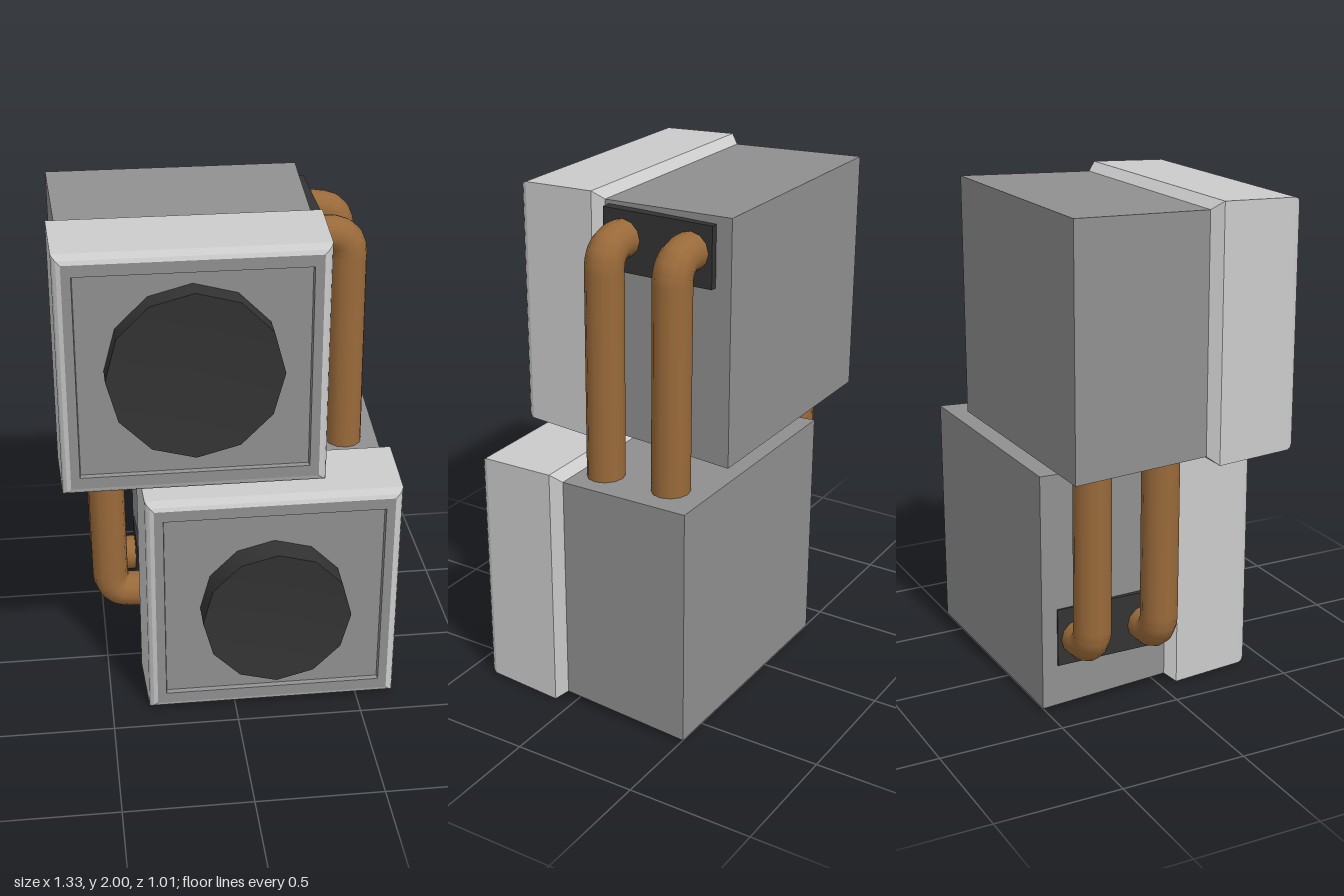
import * as THREE from 'three';
import { toCreasedNormals } from 'three/addons/utils/BufferGeometryUtils.js';

const paint = (color, flatShading = false) => new THREE.MeshStandardMaterial({ color, flatShading });
const light = paint(0xcccccc, true);
const grey = paint(0x909090, true);
const dark = paint(0x333333);
const copper = paint(0x9a6a3a);

function add(parent, name, geometry, material) {
  const mesh = new THREE.Mesh(geometry, material);
  mesh.name = name;
  parent.add(mesh);
  return mesh;
}

// Rectangular sections [halfWidth, halfHeight, z], joined in order from back to front
function loft(sections, capBack = false, capFront = false) {
  const pos = [];
  const ring = ([w, h, z]) => [[-w, -h, z], [w, -h, z], [w, h, z], [-w, h, z]];
  const quad = (a, b, c, d) => pos.push(...a, ...b, ...c, ...a, ...c, ...d);
  for (let i = 0; i < sections.length - 1; i++) {
    const p = ring(sections[i]), q = ring(sections[i + 1]);
    for (let k = 0; k < 4; k++) {
      const n = (k + 1) % 4;
      quad(p[k], p[n], q[n], q[k]);
    }
  }
  if (capBack) quad(...ring(sections[0]).reverse());
  if (capFront) quad(...ring(sections[sections.length - 1]));
  const g = new THREE.BufferGeometry();
  g.setAttribute('position', new THREE.Float32BufferAttribute(pos, 3));
  g.computeVertexNormals();
  return g;
}

// One boxy unit with a flared back, bevelled front casing, recessed panel and disc
function makeUnit(name, x, y, disc) {
  const unit = new THREE.Group();
  unit.name = name;
  unit.position.set(x, y, 0);
  add(unit, 'backBody', loft([[0.5, 0.478, -0.51], [0.48, 0.459, 0.035]], true), grey);
  add(unit, 'frontCasing', loft([
    [0.48, 0.459, 0.035], [0.512, 0.491, 0.075], [0.501, 0.479, 0.378],
    [0.495, 0.473, 0.393], [0.484, 0.462, 0.405], [0.468, 0.447, 0.412],
  ]), light);
  add(unit, 'frontPanel', loft([
    [0.468, 0.447, 0.412], [0.433, 0.402, 0.412], [0.43, 0.399, 0.392],
  ], false, true), grey);

  // Twelve-sided disc with a shallow dished face
  const profile = [[disc.r, 0], [disc.r, disc.front - 0.38], [0, disc.front - 0.41]];
  const lathe = new THREE.LatheGeometry(profile.map(([r, h]) => new THREE.Vector2(r, h)), 12);
  lathe.rotateX(Math.PI / 2);
  add(unit, 'frontDisc', toCreasedNormals(lathe, 0.7), dark).position.set(disc.x, disc.y, 0.38);
  return unit;
}

// Mounting plate with two bent pipes running down from it
function makePipes(name) {
  const set = new THREE.Group();
  set.name = name;
  add(set, 'pipePlate', new THREE.BoxGeometry(0.04, 0.235, 0.46), dark).position.set(0.35, 1.838, -0.215);
  for (const z of [-0.07, -0.357]) {
    const pts = [new THREE.Vector3(0.33, 1.85, z)];
    const bend = 0.075;
    for (let i = 0; i <= 4; i++) {
      const a = Math.PI / 2 * (1 - i / 4);
      pts.push(new THREE.Vector3(0.415 + bend * Math.cos(a), 1.775 + bend * Math.sin(a), z));
    }
    pts.push(new THREE.Vector3(0.497, 0.93, z));
    const path = new THREE.CurvePath();
    for (let i = 1; i < pts.length; i++) path.add(new THREE.LineCurve3(pts[i - 1], pts[i]));
    add(set, 'pipe', new THREE.TubeGeometry(path, 64, 0.073, 12), copper);
  }
  return set;
}

export function createModel() {
  const model = new THREE.Group();
  model.name = 'stackedUnits';
  model.add(makeUnit('upperUnit', -0.155, 1.509, { x: -0.003, y: 0.026, r: 0.327, front: 0.485 }));
  model.add(makeUnit('lowerUnit', 0.151, 0.492, { x: 0, y: -0.012, r: 0.292, front: 0.505 }));
  model.add(makePipes('leftPipes'));

  // The second pair is turned half round and rises from the lower unit
  const rising = makePipes('rightPipes');
  rising.rotation.z = Math.PI;
  rising.position.set(0.017, 2.14, 0);
  model.add(rising);
  return model;
}
